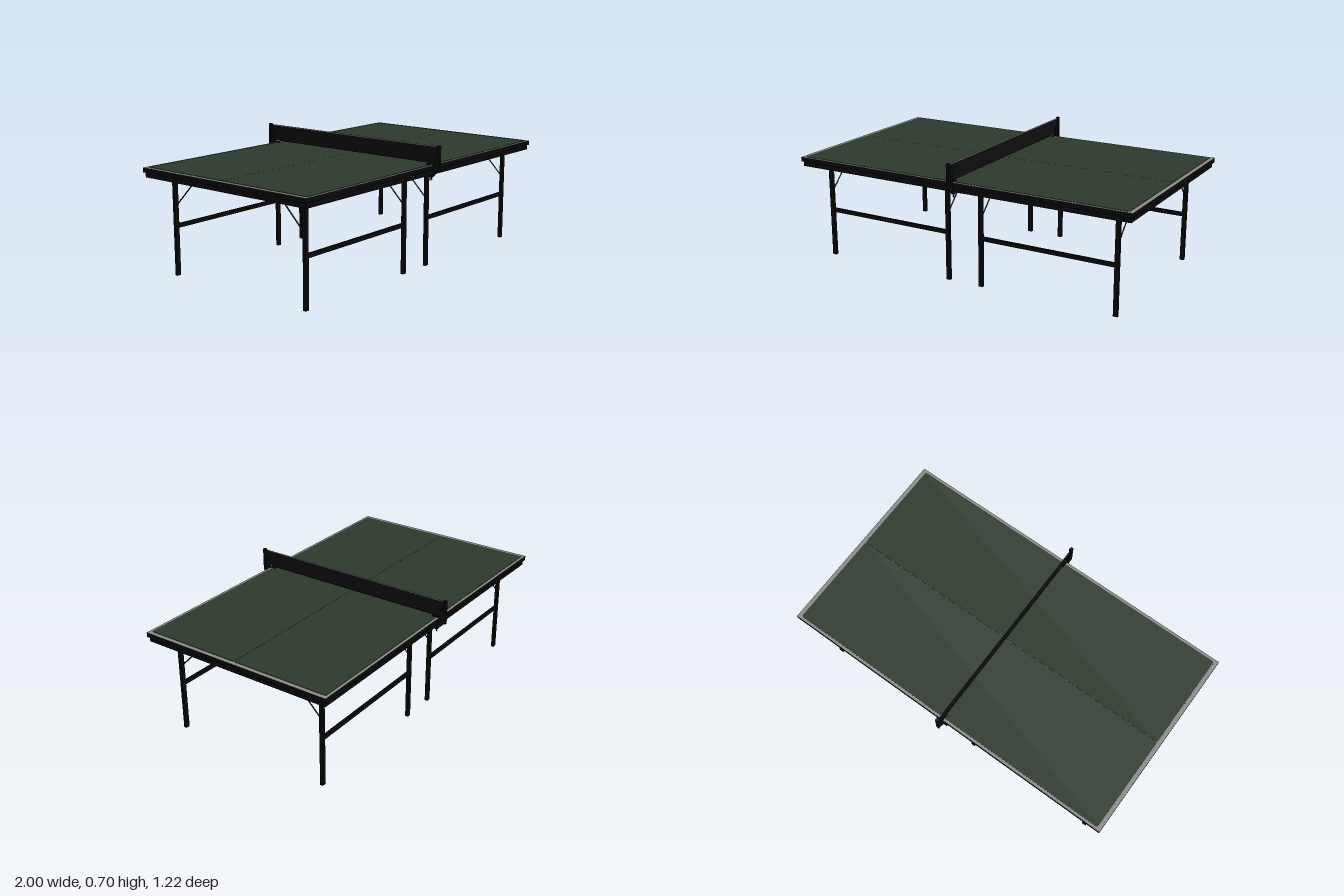
import * as THREE from 'three';

const mat = (name, color, side = THREE.FrontSide) => {
  const m = new THREE.MeshStandardMaterial({ color, side });
  m.name = name;
  return m;
};

export function createModel() {
  const black = mat('black steel', 0x080808);
  const green = mat('green playing surface', 0x2d3a2d);
  const grey = mat('grey line paint', 0x8c8c8a);
  const netCloth = mat('net black', 0x0e0e0e, THREE.DoubleSide);
  const tapeGrey = mat('net tape grey', 0x77777a, THREE.DoubleSide);

  const model = new THREE.Group();
  model.name = 'tableTennisTable';

  const add = (name, geo, material, x = 0, y = 0, z = 0, parent = model) => {
    const m = new THREE.Mesh(geo, material);
    m.name = name;
    m.position.set(x, y, z);
    parent.add(m);
    return m;
  };
  const box = (name, w, h, d, material, x, y, z, parent) =>
    add(name, new THREE.BoxGeometry(w, h, d), material, x, y, z, parent);

  // round bar between two points
  const rod = (name, a, b, r, parent) => {
    const dir = b.clone().sub(a);
    const m = add(name, new THREE.CylinderGeometry(r, r, dir.length(), 8), black, 0, 0, 0, parent);
    m.position.copy(a).add(b).multiplyScalar(0.5);
    m.quaternion.setFromUnitVectors(new THREE.Vector3(0, 1, 0), dir.normalize());
  };

  // slab with black edges and a grey painted top
  box('tableTop', 2, 0.025, 1.134, [black, black, grey, black, black, black], 0, 0.5755, 0);
  box('underside', 1.956, 0.008, 1.09, grey, 0, 0.56, 0);

  // hanging frame under the slab
  for (const s of [-1, 1]) {
    box('sideApron', 1.98, 0.029, 0.014, black, 0, 0.5505, s * 0.551);
    box('endApron', 0.014, 0.029, 1.088, black, s * 0.983, 0.5505, 0);
  }

  // two green halves with rounded corners
  const hw = 0.977, d = 0.551, r = 0.009;
  const half = new THREE.Shape();
  half.moveTo(-hw + r, 0);
  half.lineTo(hw - r, 0);
  half.quadraticCurveTo(hw, 0, hw, r);
  half.lineTo(hw, d - r);
  half.quadraticCurveTo(hw, d, hw - r, d);
  half.lineTo(-hw + r, d);
  half.quadraticCurveTo(-hw, d, -hw, d - r);
  half.lineTo(-hw, r);
  half.quadraticCurveTo(-hw, 0, -hw + r, 0);
  const halfGeo = new THREE.ExtrudeGeometry(half, { depth: 0.002, bevelEnabled: false });
  halfGeo.rotateX(-Math.PI / 2);
  add('playingSurfaceBack', halfGeo, green, 0, 0.588, -0.0005);
  add('playingSurfaceFront', halfGeo, green, 0, 0.588, 0.0005).rotation.y = Math.PI;

  // four leg frames: two legs, a crossbar and diagonal braces
  for (const sx of [-1, 1]) for (const sz of [-1, 1]) {
    const frame = new THREE.Group();
    frame.name = 'legFrame';
    model.add(frame);
    const z = sz * 0.456;
    for (const x of [0.102, 0.882]) {
      box('leg', 0.024, 0.556, 0.017, black, sx * x, 0.278, z, frame);
      rod('brace', new THREE.Vector3(sx * x, 0.378, sz * 0.453),
        new THREE.Vector3(sx * x, 0.555, sz * 0.277), 0.0035, frame);
    }
    box('crossbar', 0.78, 0.022, 0.014, black, sx * 0.492, 0.27, z, frame);
  }

  // net
  const net = new THREE.Group();
  net.name = 'net';
  model.add(net);
  const sheet = (name, h, y, material) => {
    const g = new THREE.PlaneGeometry(1.18, h);
    g.rotateY(Math.PI / 2);
    add(name, g, material, 0, y, 0, net);
  };
  sheet('netMesh', 0.088, 0.644, netCloth);
  sheet('netTape', 0.006, 0.691, tapeGrey);

  // net posts with clamp brackets gripping the table edge
  for (const s of [-1, 1]) {
    const clamp = new THREE.Group();
    clamp.name = 'netClamp';
    net.add(clamp);
    box('netPost', 0.016, 0.132, 0.018, black, 0, 0.631, s * 0.602, clamp);
    box('postPlate', 0.008, 0.08, 0.026, black, 0, 0.606, s * 0.582, clamp);
    box('topJaw', 0.006, 0.007, 0.06, black, 0, 0.5935, s * 0.558, clamp);
    const bracket = new THREE.Shape([[0.606, 0.568], [0.566, 0.527], [0.545, 0.527],
      [0.545, 0.535], [0.57, 0.54], [0.57, 0.568]].map(p => new THREE.Vector2(...p)));
    const g = new THREE.ExtrudeGeometry(bracket, { depth: 0.01, bevelEnabled: false });
    g.translate(0, 0, -0.005);
    add('clampBracket', g, black, 0, 0, 0, clamp).rotation.y = -s * Math.PI / 2;
    const screw = (name, rad, h, y) =>
      add(name, new THREE.CylinderGeometry(rad, rad, h, 10), black, 0, y, s * 0.556, clamp);
    screw('clampScrew', 0.003, 0.03, 0.523);
    screw('clampPad', 0.011, 0.008, 0.529);
    screw('clampKnob', 0.006, 0.004, 0.514);
  }
  return model;
}
